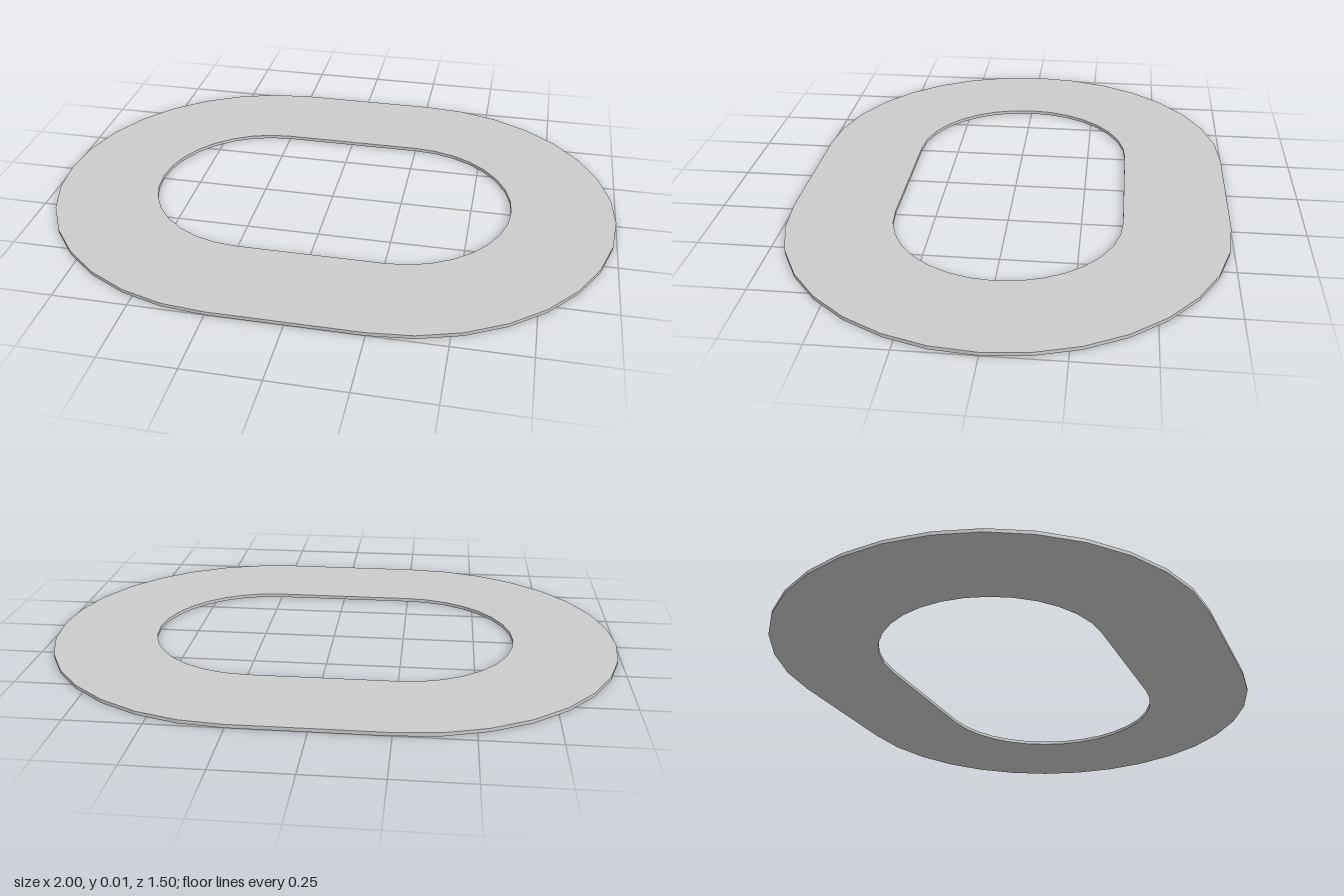
import * as THREE from 'three';

const HALF_STRAIGHT = 0.25;
const OUTER_RADIUS = 0.75;
const INNER_RADIUS = 0.39;
const THICKNESS = 0.012;
const ARC_STEPS = 16;

// Stadium outline: two faceted half circles joined by straight sides
function stadium(radius) {
  const points = [];
  for (const side of [1, -1]) {
    for (let i = 0; i <= ARC_STEPS; i++) {
      const a = (i / ARC_STEPS - 0.5) * Math.PI;
      points.push(new THREE.Vector2(
        side * (HALF_STRAIGHT + radius * Math.cos(a)),
        side * radius * Math.sin(a)));
    }
  }
  return points;
}

export function createModel() {
  const group = new THREE.Group();
  group.name = 'ovalTrack';

  // Flat oval plate with a matching opening, laid on the ground
  const shape = new THREE.Shape(stadium(OUTER_RADIUS));
  shape.holes.push(new THREE.Path(stadium(INNER_RADIUS)));
  const geometry = new THREE.ExtrudeGeometry(shape, { depth: THICKNESS, bevelEnabled: false });
  geometry.rotateX(-Math.PI / 2);

  const ring = new THREE.Mesh(geometry,
    new THREE.MeshStandardMaterial({ color: 0xcccccc, flatShading: true }));
  ring.name = 'ovalRing';
  group.add(ring);
  return group;
}
